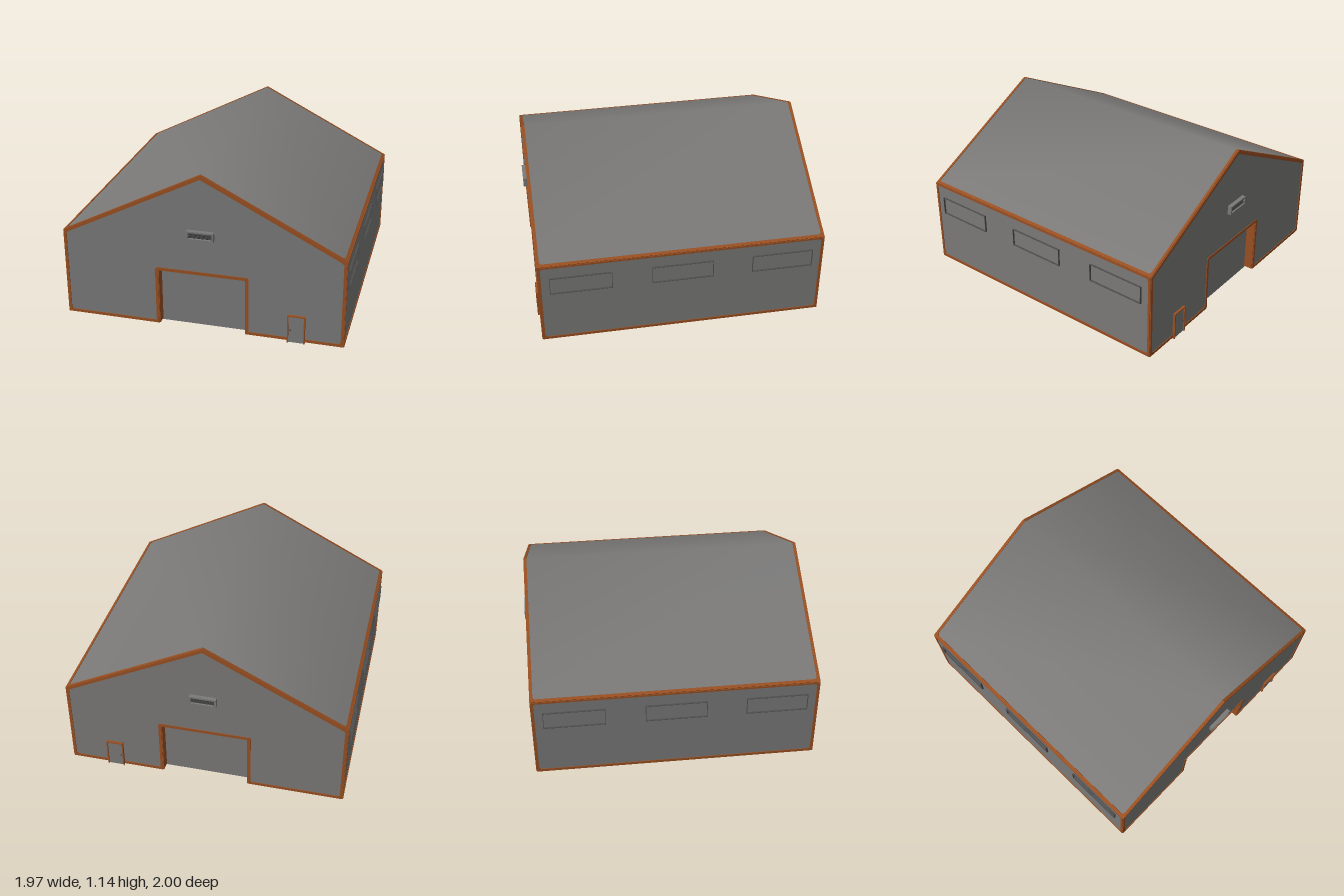
import * as THREE from 'three';

const mat = (name, color) => {
  const m = new THREE.MeshStandardMaterial({ color, side: THREE.DoubleSide });
  m.name = name;
  return m;
};

export function createModel() {
  const grey = mat('wallGrey', 0x7a7978);
  const orange = mat('trimOrange', 0x984f22);
  const dark = mat('ventDark', 0x3a3a3b);
  const lip = mat('windowGrey', 0x4e4e4e);

  const W = 0.972, EAVE = 0.64, RIDGE = 1.135, BASE = 0.01, CORE = 0.9, T = 0.005;
  const slope = Math.atan2(RIDGE - EAVE, W), roofLength = Math.hypot(RIDGE - EAVE, W);

  const root = new THREE.Group();
  root.name = 'warehouse';
  const add = (parent, name, geo, material, x = 0, y = 0, z = 0) => {
    const m = new THREE.Mesh(geo, material);
    m.name = name;
    m.position.set(x, y, z);
    parent.add(m);
    return m;
  };
  const box = (parent, name, material, w, h, d, x, y, z) =>
    add(parent, name, new THREE.BoxGeometry(w, h, d), material, x, y, z);
  // Extruded outline with an optional hole
  const plate = (outer, hole, depth) => {
    const v = p => p.map(([x, y]) => new THREE.Vector2(x, y));
    const s = new THREE.Shape(v(outer));
    if (hole) s.holes.push(new THREE.Path(v(hole)));
    return new THREE.ExtrudeGeometry(s, { depth, bevelEnabled: false });
  };
  const mirrored = half => [...half, ...half.slice().reverse().filter(p => p[0] !== 0).map(([x, y]) => [-x, y])];

  // Main hall
  const hall = mirrored([[0, RIDGE], [-W, EAVE], [-W, BASE]]);
  add(root, 'hall', plate(hall, null, 2 * CORE), grey, 0, 0, -CORE);

  // Roof skin with a softly shaded ridge
  const roof = new THREE.BufferGeometry();
  const lift = 0.002, pts = [];
  for (const [x, y] of [[-W, EAVE], [0, RIDGE], [W, EAVE]])
    for (const z of [W, -W]) pts.push(x, y + lift, z);
  roof.setAttribute('position', new THREE.Float32BufferAttribute(pts, 3));
  roof.setIndex([0, 2, 1, 1, 2, 3, 2, 4, 3, 3, 4, 5]);
  roof.computeVertexNormals();
  add(root, 'roof', roof, grey);

  // Gable ends: notched wall, trim, gate, side door and vent
  const notched = mirrored([[0, RIDGE], [-W, EAVE], [-W, BASE], [-0.305, BASE], [-0.305, 0.42]]);
  const inner = mirrored([[0, 1.11], [-0.94, 0.633], [-0.953, 0.62], [-0.953, 0.042], [-0.94, 0.03],
    [-0.325, 0.03], [-0.325, 0.428], [-0.313, 0.44]]);
  for (const side of [1, -1]) {
    const g = new THREE.Group();
    g.name = side > 0 ? 'frontGable' : 'backGable';
    g.rotation.y = side > 0 ? 0 : Math.PI;
    root.add(g);
    add(g, 'gableWall', plate(notched, null, W - CORE), grey, 0, 0, CORE);
    add(g, 'gableTrim', plate(notched, inner, T), orange, 0, 0, W);

    // Recessed gate with lined opening
    box(g, 'gate', grey, 0.61, 0.42, 0.01, 0, 0.21, CORE + 0.003);
    for (const s of [1, -1])
      box(g, 'gateJamb', orange, 0.006, 0.41, W - CORE, s * 0.303, 0.215, (W + CORE) / 2);
    box(g, 'gateLintel', orange, 0.61, 0.006, W - CORE, 0, 0.418, (W + CORE) / 2);

    // Side door
    const door = new THREE.Group();
    door.name = 'sideDoor';
    door.position.set(side * 0.653, 0, W);
    g.add(door);
    box(door, 'doorPanel', grey, 0.11, 0.2, 0.009, 0, 0.1, 0.0045);
    for (const s of [1, -1])
      box(door, 'doorPost', orange, 0.008, 0.205, 0.018, s * 0.056, 0.1025, 0.009);
    box(door, 'doorHead', orange, 0.12, 0.008, 0.018, 0, 0.201, 0.009);
    add(door, 'doorKnob', new THREE.SphereGeometry(0.005, 10, 8), dark, -side * 0.04, 0.095, 0.013);

    // Louvred vent
    const vent = new THREE.Group();
    vent.name = 'vent';
    vent.position.set(0, 0.714, W);
    g.add(vent);
    const rect = (w, h) => mirrored([[-w, h], [-w, -h]]);
    add(vent, 'ventFrame', plate(rect(0.092, 0.032), rect(0.081, 0.021), 0.028), grey);
    box(vent, 'ventBack', dark, 0.162, 0.042, 0.008, 0, 0, 0.006);
    for (let i = -1; i <= 1; i++)
      box(vent, 'ventSlat', dark, 0.162, 0.003, 0.014, 0, i * 0.0115, 0.015).rotation.x = 0.6;
  }

  // Long sides: wall trim, window surrounds and roof edge trim
  const wallOuter = mirrored([[-W, EAVE], [-W, BASE]]);
  const wallInner = mirrored([[-0.943, 0.627], [-0.955, 0.615], [-0.955, 0.042], [-0.943, 0.03]]);
  const roofEdge = [...mirrored([[-W, roofLength], [-W, 0]]).reverse(),
    [-0.955, roofLength], [-0.955, 0.035], [-0.943, 0.022],
    [0.943, 0.022], [0.955, 0.035], [0.955, roofLength]];
  // Walk the U-shaped edge: up the right side, then back along the inside
  const edgePath = [[-W, roofLength], [-W, 0], [W, 0], [W, roofLength],
    ...roofEdge.slice(4).reverse()];
  for (const side of [1, -1]) {
    const g = new THREE.Group();
    g.name = side > 0 ? 'leftSide' : 'rightSide';
    g.rotation.y = side * Math.PI / 2;
    root.add(g);
    add(g, 'wallTrim', plate(wallOuter, wallInner, T), orange, 0, 0, W);
    const edge = add(g, 'roofTrim', plate(edgePath, null, T), orange, 0, EAVE, W);
    edge.rotation.x = slope - Math.PI / 2;

    // Thin raised surrounds
    for (const x of [-0.69, 0, 0.69]) {
      const win = new THREE.Group();
      win.name = 'windowSurround';
      win.position.set(x, 0.478, W + 0.006);
      g.add(win);
      for (const s of [1, -1]) {
        box(win, 'windowRail', lip, 0.42, 0.003, 0.014, 0, s * 0.064, 0);
        box(win, 'windowStile', lip, 0.003, 0.13, 0.014, s * 0.2085, 0, 0);
      }
    }
  }
  return root;
}
